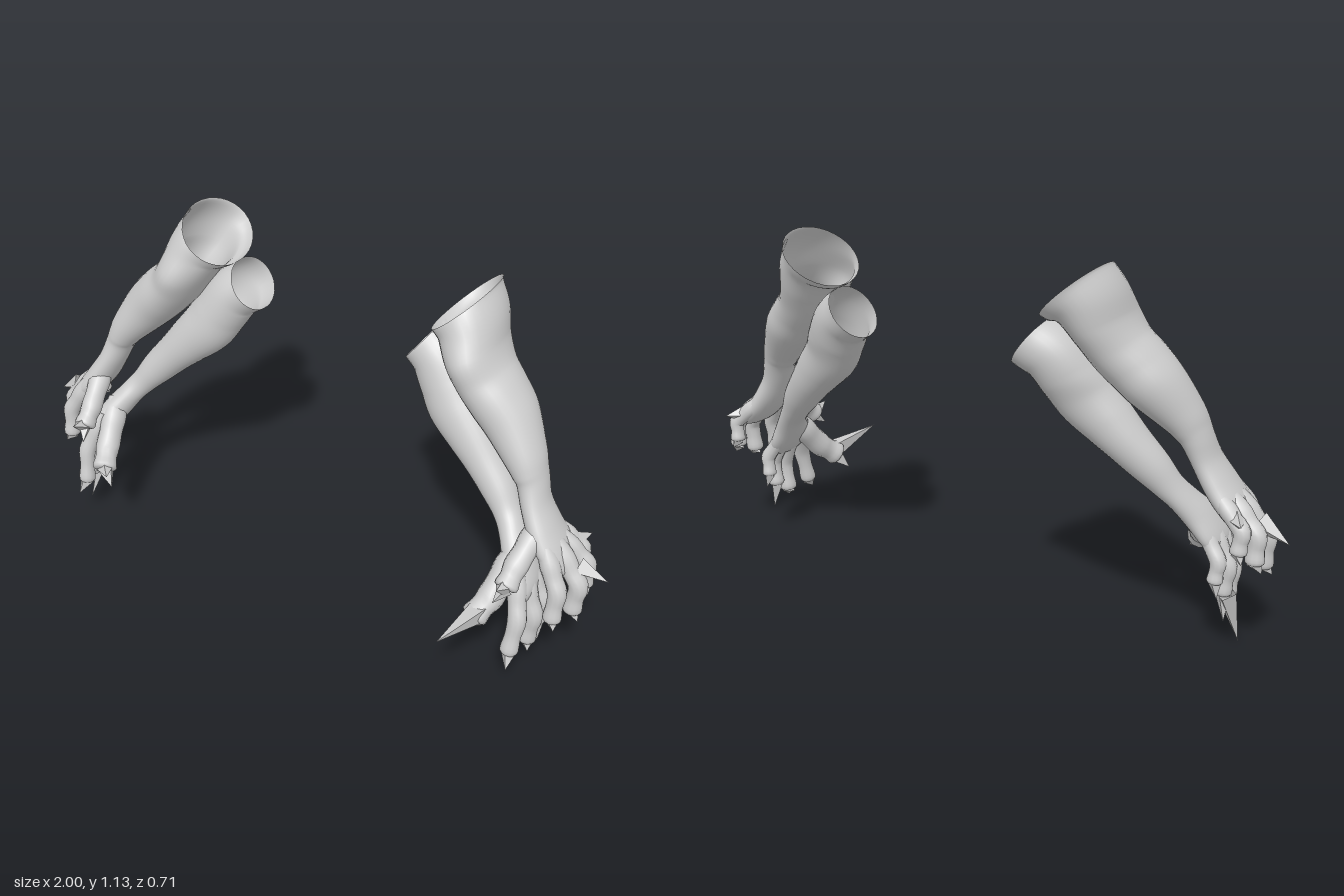
import * as THREE from 'three';

const skin = new THREE.MeshStandardMaterial({ color: 0xcccccc, side: THREE.DoubleSide });
skin.name = 'greySkin';

// Smooth skin over elliptical sections [x, y, z, radius across, radius along z].
// With upright set, every section keeps its second axis exactly along z.
function loft(sections, side, steps, sides, upright = false) {
  const path = new THREE.CatmullRomCurve3(sections.map(s => new THREE.Vector3(s[0] * side, s[1], s[2])), false, 'catmullrom', 0.5);
  const size = new THREE.CatmullRomCurve3(sections.map(s => new THREE.Vector3(s[3], s[4], 0)), false, 'catmullrom', 0.5);
  const zAxis = new THREE.Vector3(0, 0, 1);
  const positions = [], index = [];
  for (let i = 0; i <= steps; i++) {
    const c = path.getPoint(i / steps), r = size.getPoint(i / steps);
    const t = path.getTangent(i / steps);
    if (upright) t.setZ(0).normalize();
    const u = new THREE.Vector3().crossVectors(t, zAxis).normalize();
    const v = new THREE.Vector3().crossVectors(t, u);
    for (let j = 0; j < sides; j++) {
      const a = j / sides * Math.PI * 2;
      const p = c.clone().addScaledVector(u, Math.cos(a) * r.x).addScaledVector(v, Math.sin(a) * r.y);
      positions.push(p.x, p.y, p.z);
      if (i < steps) {
        const k = (j + 1) % sides, A = i * sides + j, B = i * sides + k;
        index.push(A, B, A + sides, B, B + sides, A + sides);
      }
    }
  }
  const g = new THREE.BufferGeometry();
  g.setAttribute('position', new THREE.Float32BufferAttribute(positions, 3));
  g.setIndex(index);
  g.computeVertexNormals();
  return g;
}

function add(parent, name, geometry) {
  const m = new THREE.Mesh(geometry, skin);
  m.name = name;
  parent.add(m);
}

// Jointed finger rooted inside the palm, with a rounded tip
function finger(parent, name, side, a, b, c, r) {
  const mix = (p, q, t) => p.map((n, i) => n + (q[i] - n) * t);
  add(parent, name, loft([
    [...mix(a, b, -0.6), r * 0.75, r * 0.8],
    [...a, r * 1.1, r * 1.08],
    [...mix(a, b, 0.5), r, r],
    [...b, r * 1.06, r * 1.03],
    [...mix(b, c, 0.5), r * 0.92, r * 0.92],
    [...c, r, r],
    [...mix(b, c, 1.12), 0.002, 0.002],
  ], side, 24, 12));
}

// Sharp faceted claw
function claw(parent, name, side, base, tip, r) {
  const g = loft([[...base, r, r], [...tip, 0.0005, 0.0005]], side, 1, 4).toNonIndexed();
  g.computeVertexNormals();
  add(parent, name, g);
}

const upperForearm = [
  [0.425, 1.053, -0.205, 0.112, 0.15],
  [0.458, 1.018, -0.183, 0.097, 0.146],
  [0.492, 0.952, -0.152, 0.083, 0.146],
  [0.53, 0.892, -0.136, 0.082, 0.126],
  [0.578, 0.842, -0.122, 0.085, 0.112],
  [0.63, 0.787, -0.11, 0.081, 0.1],
  [0.69, 0.712, -0.08, 0.063, 0.08],
  [0.716, 0.672, -0.067, 0.052, 0.07],
  [0.732, 0.642, -0.06, 0.045, 0.064],
  [0.757, 0.58, -0.042, 0.041, 0.067],
  [0.795, 0.515, -0.03, 0.043, 0.08],
  [0.84, 0.457, -0.026, 0.038, 0.088],
  [0.873, 0.418, -0.026, 0.022, 0.075],
  [0.885, 0.4, -0.026, 0.002, 0.01],
];
const lowerForearm = [
  [0.306, 0.9, -0.215, 0.086, 0.096],
  [0.358, 0.862, -0.198, 0.087, 0.096],
  [0.4, 0.8, -0.178, 0.088, 0.092],
  [0.44, 0.738, -0.155, 0.088, 0.083],
  [0.5, 0.675, -0.138, 0.077, 0.077],
  [0.557, 0.615, -0.122, 0.065, 0.07],
  [0.615, 0.552, -0.1, 0.056, 0.061],
  [0.66, 0.497, -0.077, 0.044, 0.053],
  [0.695, 0.455, -0.048, 0.04, 0.06],
  [0.735, 0.4, -0.01, 0.043, 0.074],
  [0.775, 0.34, 0.014, 0.036, 0.084],
  [0.79, 0.305, 0.02, 0.02, 0.066],
  [0.795, 0.29, 0.02, 0.002, 0.01],
];

// Each finger: knuckle, middle joint, tip, radius, claw point
const upperFingers = [
  ['indexFinger', [0.845, 0.45, 0.04], [0.885, 0.375, 0.06], [0.885, 0.285, 0.073], 0.027, [0.9, 0.255, 0.09]],
  ['middleFinger', [0.87, 0.45, -0.01], [0.925, 0.375, 0.0], [0.92, 0.285, 0.005], 0.028, [0.945, 0.255, 0.015]],
  ['ringFinger', [0.865, 0.46, -0.06], [0.92, 0.4, -0.073], [0.92, 0.325, -0.078], 0.027, [0.94, 0.29, -0.07]],
  ['smallFinger', [0.84, 0.47, -0.095], [0.89, 0.42, -0.112], [0.885, 0.36, -0.118], 0.024, [0.9, 0.33, -0.13]],
];
const lowerFingers = [
  ['indexFinger', [0.77, 0.35, 0.07], [0.795, 0.26, 0.105], [0.79, 0.155, 0.128], 0.027, [0.8, 0.11, 0.165]],
  ['middleFinger', [0.785, 0.33, 0.03], [0.82, 0.24, 0.04], [0.81, 0.145, 0.042], 0.028, [0.825, 0.11, 0.06]],
  ['ringFinger', [0.785, 0.34, -0.01], [0.825, 0.26, -0.012], [0.815, 0.18, -0.014], 0.026, [0.825, 0.09, -0.02]],
  ['smallFinger', [0.765, 0.36, -0.04], [0.81, 0.29, -0.055], [0.805, 0.23, -0.06], 0.023, [0.815, 0.18, -0.065]],
];

function arm(name, side, forearm, fingers) {
  const group = new THREE.Group();
  group.name = name;
  add(group, 'forearmAndPalm', loft(forearm, side, 78, 32, true));
  for (const [label, a, b, c, r, tip] of fingers) {
    finger(group, label, side, a, b, c, r);
    claw(group, label + 'Claw', side, c, tip, r * 0.95);
  }
  return group;
}

export function createModel() {
  const model = new THREE.Group();
  model.name = 'clawedArms';
  for (const side of [1, -1]) {
    const label = side > 0 ? 'left' : 'right';

    // Upper arm with thumb and knuckle spikes
    const upper = arm(label + 'UpperArm', side, upperForearm, upperFingers);
    finger(upper, 'thumb', side, [0.78, 0.505, 0.02], [0.765, 0.445, 0.09], [0.76, 0.4, 0.14], 0.034);
    claw(upper, 'thumbClaw', side, [0.76, 0.405, 0.14], [0.755, 0.43, 0.2], 0.03);
    claw(upper, 'thumbSpur', side, [0.76, 0.395, 0.14], [0.74, 0.36, 0.178], 0.024);
    claw(upper, 'knuckleSpike', side, [0.91, 0.425, -0.025], [1.0, side > 0 ? 0.4 : 0.375, -0.03], 0.034);
    claw(upper, 'smallKnuckleSpike', side, [0.87, 0.45, -0.105], [0.9, 0.45, -0.155], 0.026);

    // Lower arm with heavy thumb; the long claws differ between the sides
    const lower = arm(label + 'LowerArm', side, lowerForearm, lowerFingers);
    finger(lower, 'thumb', side, [0.725, 0.385, 0.03], [0.705, 0.305, 0.1], [0.68, 0.26, 0.155], 0.039);
    claw(lower, 'thumbSpur', side, [0.68, 0.255, 0.15], [0.64, 0.21, 0.175], 0.034);
    if (side > 0) claw(lower, 'longThumbClaw', side, [0.69, 0.275, 0.14], [0.655, 0.312, 0.352], 0.036);
    else {
      claw(lower, 'thumbClaw', side, [0.68, 0.265, 0.15], [0.625, 0.28, 0.21], 0.032);
      claw(lower, 'longFingerClaw', side, [0.825, 0.18, -0.014], [0.85, 0.0, 0.053], 0.032);
    }
    model.add(upper, lower);
  }
  return model;
}
